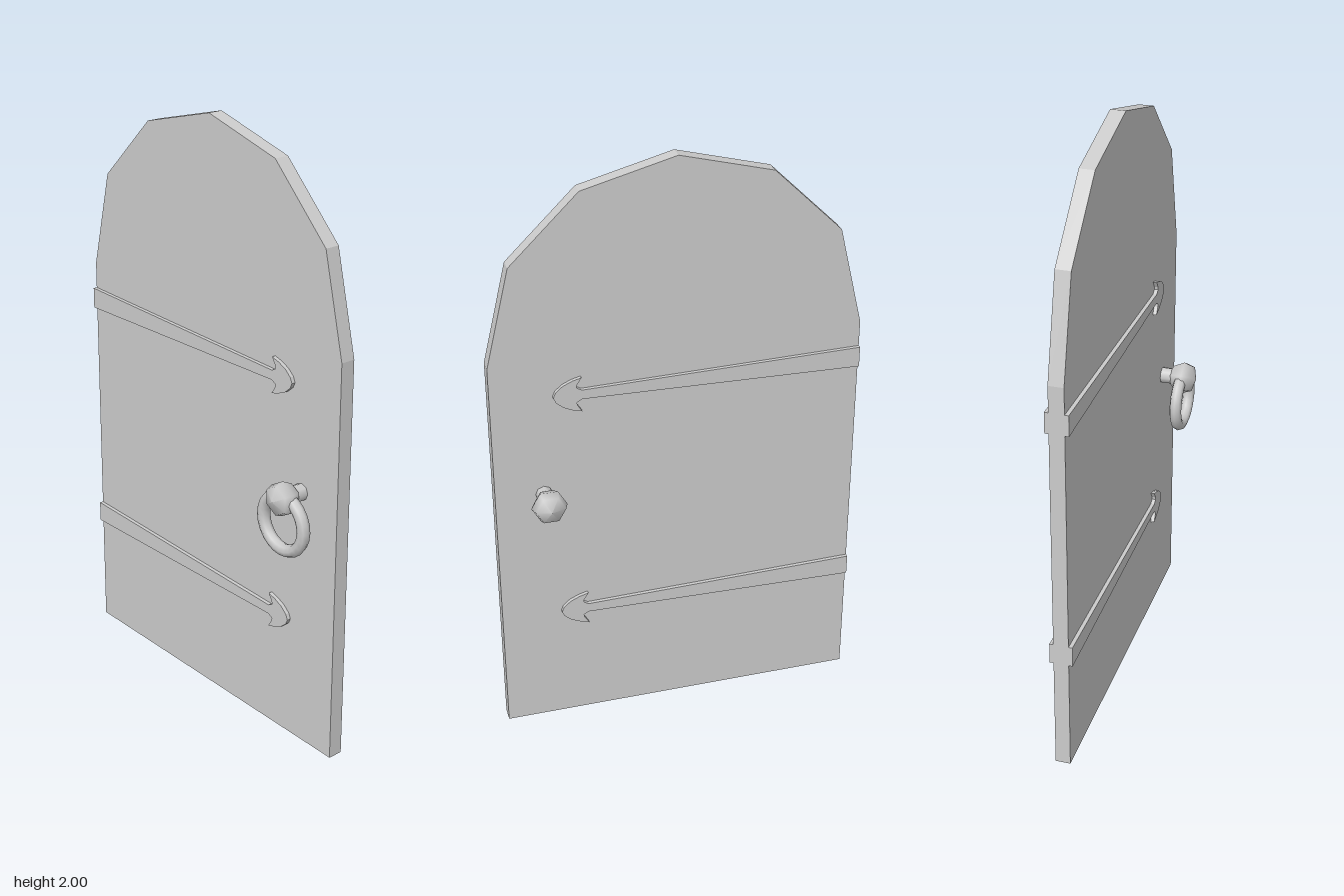
import * as THREE from 'three';

const material = new THREE.MeshStandardMaterial({ color: 0xcccccc });

function addMesh(parent, name, geometry) {
  const mesh = new THREE.Mesh(geometry, material);
  mesh.name = name;
  parent.add(mesh);
  return mesh;
}

// Flat outline given as [x, y] points, extruded between two depths
function slab(points, zBack, zFront) {
  const shape = new THREE.Shape(points.map(([x, y]) => new THREE.Vector2(x, y)));
  const geometry = new THREE.ExtrudeGeometry(shape, { depth: zFront - zBack, bevelEnabled: false });
  return geometry.translate(0, 0, zBack);
}

// Six-sided knob, its profile running out along +z
function knobGeometry() {
  const profile = [[0.028, 0.06], [0.041, 0.068], [0.059, 0.105], [0.049, 0.132], [0, 0.148]];
  const points = profile.map(([r, d]) => new THREE.Vector2(r, d));
  return new THREE.LatheGeometry(points, 6).rotateX(Math.PI / 2);
}

export function createModel() {
  const door = new THREE.Group();
  door.name = 'door';

  // Round-topped door panel
  const panel = [[-0.61, 0], [0.61, 0], [0.61, 1.37], [0.53, 1.7], [0.305, 1.92],
    [0, 2], [-0.305, 1.92], [-0.53, 1.7], [-0.61, 1.37]];
  addMesh(door, 'doorPanel', slab(panel, -0.025, 0.025));

  // Tapering hinge straps with arrow heads, on both faces
  const upperEdge = [[0.41, 0], [0.402, 0.018], [0.379, 0.038], [0.348, 0.052], [0.318, 0.06],
    [0.333, 0.036], [0.335, 0.026], [0.318, 0.016], [-0.61, 0.035]];
  const lowerEdge = upperEdge.slice(1).reverse().map(([x, y]) => [x, -y]);
  const strap = [...upperEdge, ...lowerEdge];
  for (const [level, y] of [['upper', 1.247], ['lower', 0.426]]) {
    addMesh(door, level + 'FrontStrap', slab(strap, 0.025, 0.038)).position.y = y;
    addMesh(door, level + 'BackStrap', slab(strap, -0.038, -0.025)).position.y = y;
  }

  // Handle: spindle through the door with a knob at each end and a pull ring
  const handle = new THREE.Group();
  handle.name = 'handle';
  handle.position.set(0.45, 0.896, 0);
  door.add(handle);

  addMesh(handle, 'spindle', new THREE.CylinderGeometry(0.028, 0.028, 0.15, 8).rotateX(Math.PI / 2));
  addMesh(handle, 'frontKnob', knobGeometry());
  const backKnob = addMesh(handle, 'backKnob', knobGeometry());
  backKnob.rotation.set(0, Math.PI, Math.PI / 6);

  const ring = addMesh(handle, 'pullRing', new THREE.TorusGeometry(0.092, 0.021, 8, 24));
  ring.position.set(0, -0.084, 0.099);

  return door;
}
